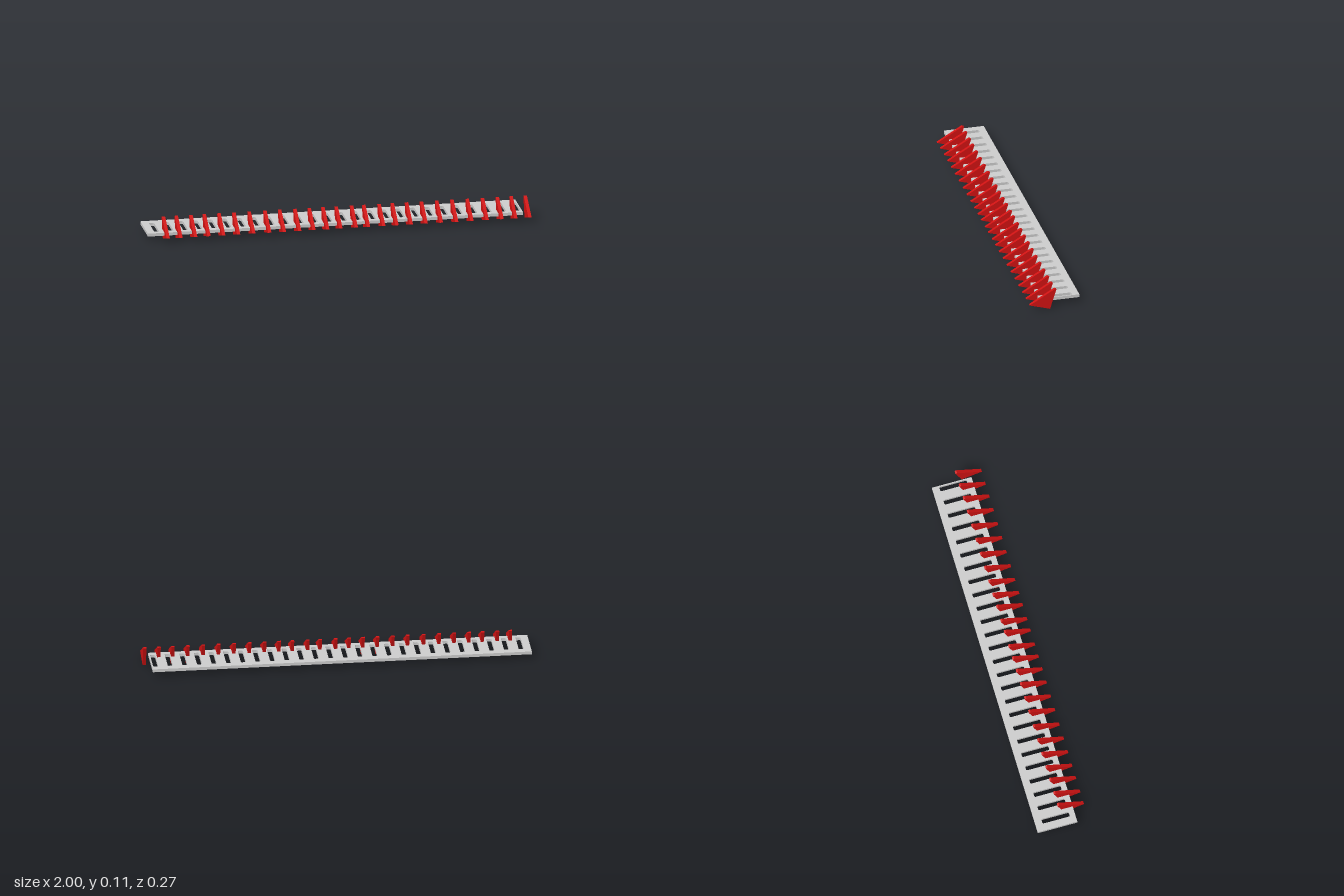
import * as THREE from 'three';

// Slot outline with softly rounded corners, x and y measured in plate space
function roundedSlot(cx, y0, y1, width, r) {
  const x0 = cx - width / 2, x1 = cx + width / 2;
  const p = new THREE.Path();
  p.moveTo(x0 + r, y0);
  p.lineTo(x1 - r, y0);
  p.quadraticCurveTo(x1, y0, x1, y0 + r);
  p.lineTo(x1, y1 - r);
  p.quadraticCurveTo(x1, y1, x1 - r, y1);
  p.lineTo(x0 + r, y1);
  p.quadraticCurveTo(x0, y1, x0, y1 - r);
  p.lineTo(x0, y0 + r);
  p.quadraticCurveTo(x0, y0, x0 + r, y0);
  return p;
}

export function createModel() {
  const model = new THREE.Group();
  model.name = 'slottedRake';
  const grey = new THREE.MeshStandardMaterial({ color: 0xcccccc });
  const red = new THREE.MeshStandardMaterial({ color: 0xd01212 });

  // Flat plate with a row of 26 slots (shape y is -z)
  const plateShape = new THREE.Shape([
    new THREE.Vector2(-1, -0.075), new THREE.Vector2(0.965, -0.075),
    new THREE.Vector2(0.965, 0.137), new THREE.Vector2(-1, 0.137),
  ]);
  for (let i = 0; i < 26; i++) {
    plateShape.holes.push(roundedSlot(-0.949 + i * 0.0758, -0.047, 0.1, 0.026, 0.007));
  }
  const plateGeo = new THREE.ExtrudeGeometry(plateShape, { depth: 0.016, bevelEnabled: false, curveSegments: 4 });
  plateGeo.rotateX(-Math.PI / 2).translate(0, 0.03, 0);
  const plate = new THREE.Mesh(plateGeo, grey);
  plate.name = 'slottedPlate';
  model.add(plate);

  // Thin pointed blade, profile drawn in z and y
  const thickness = 0.017;
  const bladeShape = new THREE.Shape([
    new THREE.Vector2(0.136, 0.035), new THREE.Vector2(0.003, 0.113),
    new THREE.Vector2(-0.006, 0.11), new THREE.Vector2(0.028, 0.002),
  ]);
  const bladeGeo = new THREE.ExtrudeGeometry(bladeShape, { depth: thickness, bevelEnabled: false });
  bladeGeo.rotateY(-Math.PI / 2).translate(thickness / 2, -0.002, 0);

  // Slightly uneven row of blades along the front, the last one past the plate
  const bladeX = [
    -0.905, -0.838, -0.761, -0.691, -0.614, -0.536, -0.456, -0.373, -0.296,
    -0.216, -0.141, -0.069, 0, 0.081, 0.145, 0.225, 0.294, 0.369, 0.447,
    0.527, 0.607, 0.687, 0.767, 0.845, 0.917, 0.991,
  ];
  const blades = new THREE.Group();
  blades.name = 'blades';
  bladeX.forEach((x, i) => {
    const blade = new THREE.Mesh(bladeGeo, red);
    blade.name = `blade${i + 1}`;
    blade.position.x = x;
    blades.add(blade);
  });
  model.add(blades);
  return model;
}
